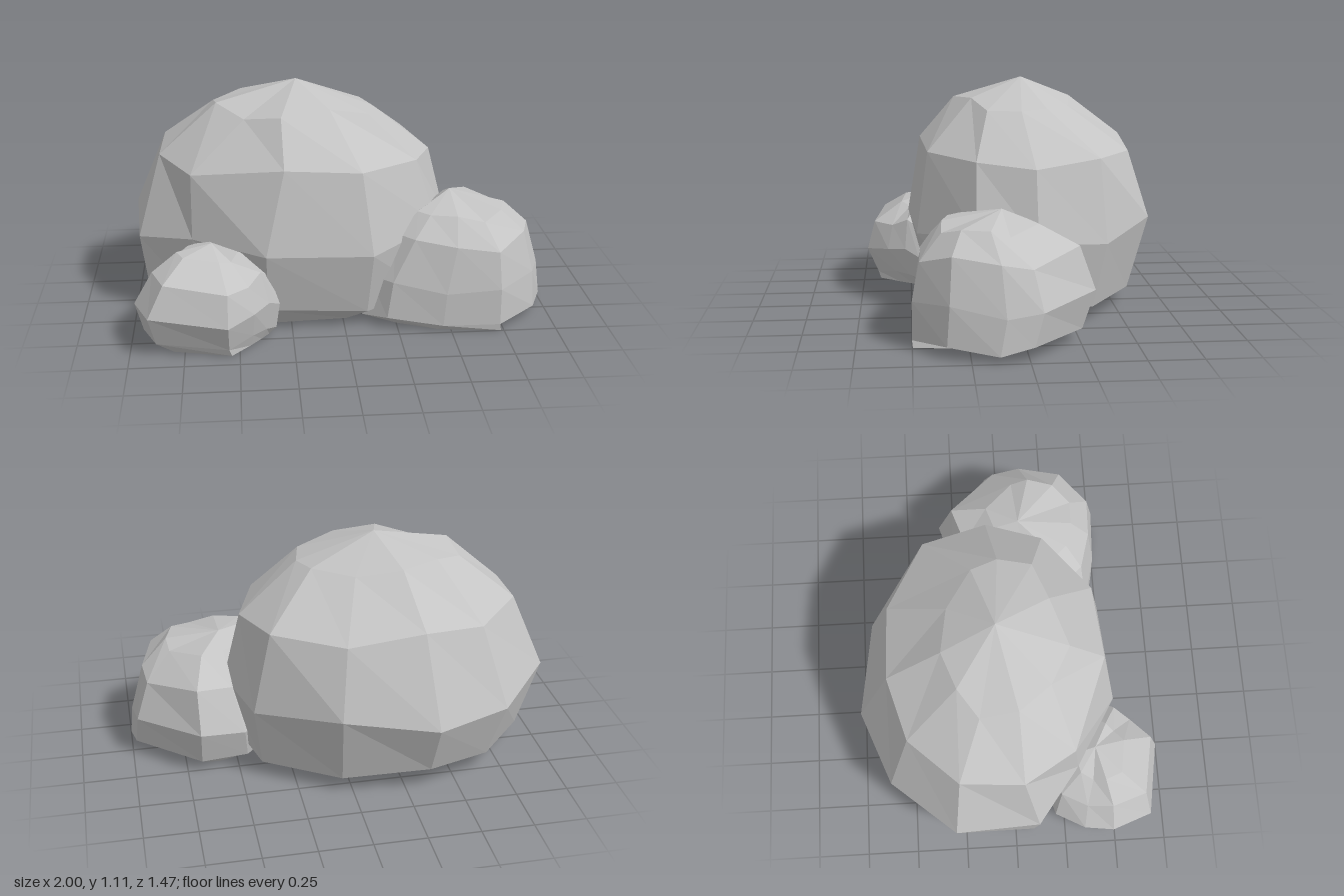
import * as THREE from 'three';

const stone = new THREE.MeshStandardMaterial({ color: 0xc4c4c4, flatShading: true });
stone.name = 'grey stone';

// Skins a boulder from one plan outline [x, z], repeated at several levels.
// Each level is [y, scaleX, scaleZ, centreX, centreZ, unevenness, nudges],
// where nudges moves single corners by [dx, dy, dz].
function boulder(name, outline, [ox, oz], levels, apex) {
  const n = outline.length;
  const pos = [], index = [];
  levels.forEach(([y, sx, sz, cx, cz, bump, nudges = {}]) => {
    outline.forEach(([x, z], i) => {
      const [dx, dy, dz] = nudges[i] ?? [0, 0, 0];
      pos.push(
        cx + (x - ox) * sx + dx,
        y + bump * Math.sin(i * 2.1 + y * 5) + dy,
        cz + (z - oz) * sz + dz);
    });
  });
  const base = pos.length / 3, top = base + 1;
  pos.push(levels[0][3], 0, levels[0][4], ...apex);

  const last = (levels.length - 1) * n;
  for (let i = 0; i < n; i++) {
    const j = (i + 1) % n;
    for (let r = 0; r < last; r += n) {
      index.push(r + i, r + n + j, r + j, r + i, r + n + i, r + n + j);
    }
    index.push(base, i, j, top, last + j, last + i);
  }

  const indexed = new THREE.BufferGeometry();
  indexed.setAttribute('position', new THREE.Float32BufferAttribute(pos, 3));
  indexed.setIndex(index);
  const geometry = indexed.toNonIndexed();
  geometry.computeVertexNormals();
  const mesh = new THREE.Mesh(geometry, stone);
  mesh.name = name;
  return mesh;
}

export function createModel() {
  const group = new THREE.Group();
  group.name = 'boulders';

  // Large boulder at the back
  group.add(boulder('largeBoulder',
    [[-1, -0.29], [-0.73, -0.6], [-0.37, -0.74], [0.07, -0.67], [0.44, -0.41], [0.54, -0.08],
      [0.47, 0.2], [0.13, 0.47], [-0.37, 0.51], [-0.71, 0.31], [-0.97, 0.11]],
    [-0.23, -0.115],
    [
      [0, 0.66, 0.58, -0.22, -0.04, 0],
      [0.09, 0.94, 0.85, -0.23, -0.1, -0.025, {
        0: [0.05, 0.01, 0], 1: [0.03, 0.02, 0], 10: [0, -0.03, 0],
      }],
      [0.41, 1, 1, -0.23, -0.115, 0.03, { 2: [0, -0.03, 0] }],
      [0.78, 0.82, 0.82, -0.215, -0.065, 0.025, {
        0: [0, 0.035, -0.05], 1: [0, 0, -0.03], 3: [0, 0, -0.05], 4: [0.02, 0, -0.08],
        5: [0.04, -0.065, -0.04], 8: [0.05, 0, 0], 9: [-0.1, -0.02, 0], 10: [-0.04, 0, -0.08],
      }],
      [1.0, 0.5, 0.47, -0.215, -0.02, 0.025, {
        0: [0, 0.01, -0.05], 4: [0, -0.035, 0], 5: [0, -0.03, -0.03],
        7: [-0.02, 0, -0.06], 10: [0, 0, -0.06],
      }],
    ],
    [-0.2, 1.11, -0.06]));

  // Medium boulder on the model's left
  group.add(boulder('mediumBoulder',
    [[0.09, 0.32], [0.2, 0], [0.45, -0.25], [0.68, -0.32], [0.98, -0.06], [1, 0.1],
      [0.92, 0.34], [0.73, 0.5], [0.46, 0.49], [0.2, 0.43]],
    [0.55, 0.09],
    [
      [0, 0.7, 0.75, 0.5, 0.12, 0, { 7: [0.11, 0, 0.07], 8: [0, 0, 0.04] }],
      [0.05, 1, 0.93, 0.55, 0.12, 0.02, { 0: [0, -0.02, 0], 7: [0, -0.03, 0] }],
      [0.21, 0.95, 1, 0.56, 0.09, 0.025],
      [0.41, 0.74, 0.87, 0.59, 0.11, 0.03],
      [0.52, 0.48, 0.53, 0.58, 0.15, 0.02],
    ],
    [0.54, 0.58, 0.09]));

  // Small boulder at the front on the model's right
  group.add(boulder('smallBoulder',
    [[-0.98, 0.48], [-0.96, 0.34], [-0.88, 0.2], [-0.68, 0.14], [-0.42, 0.2], [-0.31, 0.46],
      [-0.36, 0.53], [-0.43, 0.62], [-0.55, 0.73], [-0.91, 0.67]],
    [-0.65, 0.43],
    [
      [0, 0.73, 0.74, -0.61, 0.42, 0, { 8: [0, 0, 0.02] }],
      [0.05, 0.92, 0.85, -0.64, 0.42, 0.015],
      [0.18, 1, 1, -0.65, 0.43, 0.02],
      [0.32, 0.8, 0.87, -0.63, 0.43, 0.025],
      [0.41, 0.45, 0.42, -0.63, 0.42, 0.02],
    ],
    [-0.62, 0.45, 0.4]));

  return group;
}
